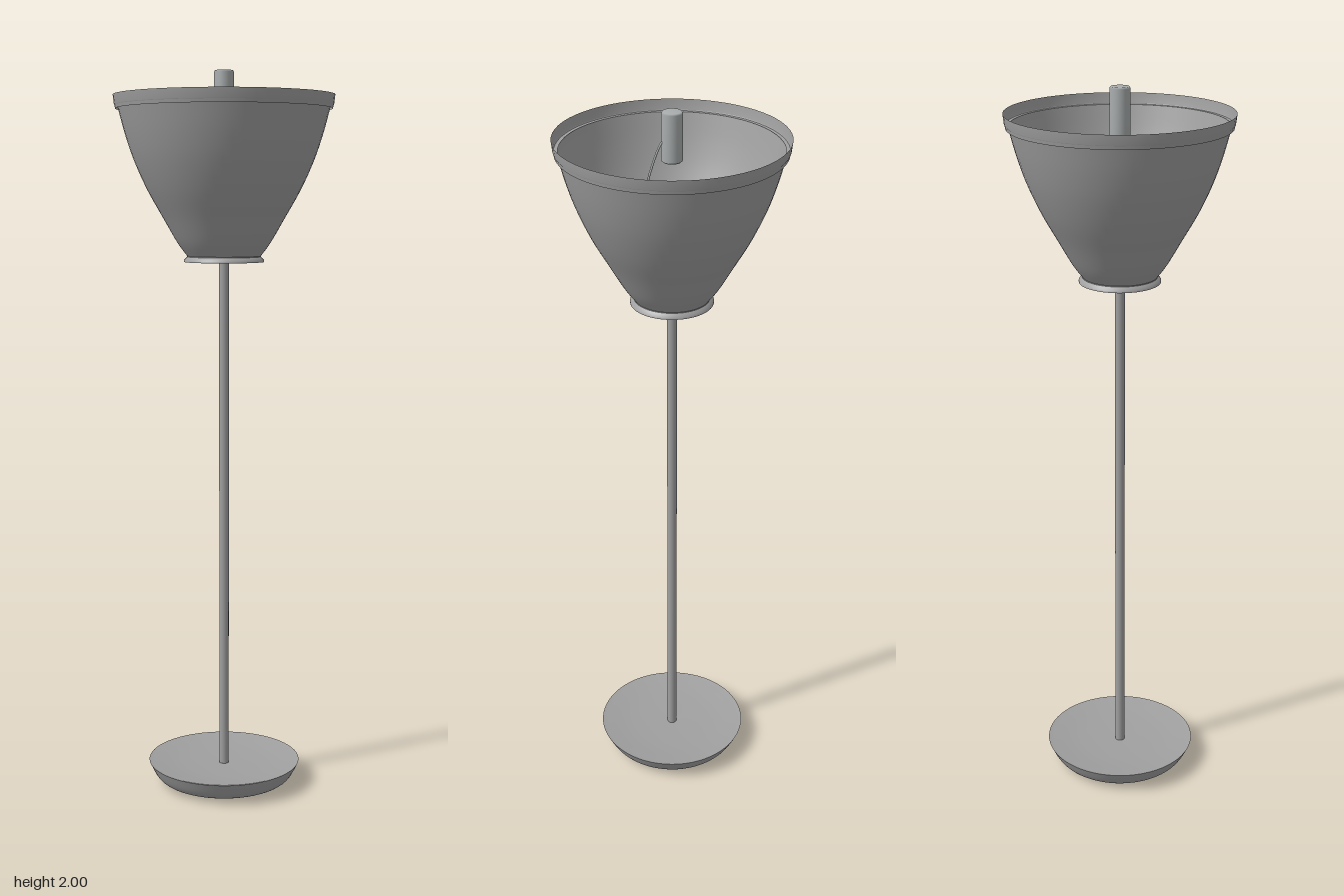
import * as THREE from 'three';

export function createModel() {
  const lamp = new THREE.Group();
  lamp.name = 'floorLamp';

  const mat = (name, color, side = THREE.FrontSide) => {
    const m = new THREE.MeshStandardMaterial({ color, side });
    m.name = name;
    return m;
  };
  const grey = mat('greyMetal', 0xa0a0a0, THREE.DoubleSide);
  const steel = mat('steel', 0xa9adad);
  const cream = mat('creamGlass', 0xf0dcb8);

  const add = (name, geometry, material, y = 0) => {
    const mesh = new THREE.Mesh(geometry, material);
    mesh.name = name;
    mesh.position.y = y;
    lamp.add(mesh);
    return mesh;
  };
  // Profiles are [radius, height]; going up gives outward faces
  const lathe = (points, segments = 64) =>
    new THREE.LatheGeometry(points.map(([r, y]) => new THREE.Vector2(r, y)), segments);
  const smooth = (points, count) =>
    new THREE.SplineCurve(points.map(([r, y]) => new THREE.Vector2(r, y)))
      .getPoints(count).map((p) => [p.x, p.y]);

  // Dished base: rounded underside and shallow hollow top
  add('baseUnderside', lathe([
    [0, 0.004], [0.14, 0.004],
    ...smooth([[0.155, 0.005], [0.18, 0.012], [0.197, 0.028], [0.215, 0.063]], 14),
  ]), grey);
  add('baseTop', lathe(smooth([[0.215, 0.063], [0.195, 0.06], [0.12, 0.052], [0, 0.048]], 14)), grey);
  add('baseFoot', new THREE.CylinderGeometry(0.14, 0.14, 0.006, 64), grey, 0.003);

  // Pole up to the socket
  add('pole', new THREE.CylinderGeometry(0.0135, 0.0135, 1.45, 24), grey, 0.775);

  // Shade: flared collar, curved wall and rim band
  add('shadeCollar', lathe([[0.1, 1.502], [0.104, 1.498], [0.11, 1.492], [0.11, 1.487]]), grey);
  add('shadeWall', lathe(smooth([
    [0.1, 1.502], [0.128, 1.54], [0.165, 1.604], [0.208, 1.68],
    [0.243, 1.757], [0.268, 1.83], [0.288, 1.905],
  ], 28)), grey);
  add('shadeLedge', lathe([[0.284, 1.905], [0.294, 1.905]]), grey);
  add('shadeLip', lathe([[0.294, 1.898], [0.296, 1.909]]), grey);
  add('shadeRim', lathe([[0.294, 1.905], [0.297, 1.909], [0.3, 1.935]]), grey);
  add('shadeFloor', new THREE.CylinderGeometry(0.101, 0.101, 0.006, 64), grey, 1.503);

  // Socket and bulb
  add('socket', new THREE.CylinderGeometry(0.032, 0.032, 0.14, 32), steel, 1.575);
  add('bulb', lathe(smooth([
    [0.03, 1.64], [0.036, 1.665], [0.056, 1.705], [0.066, 1.745],
    [0.057, 1.78], [0.034, 1.803], [0, 1.812],
  ], 28), 40), cream);

  // Finial above the bulb, held by a single bent wire
  add('finial', lathe([
    [0, 1.872], [0.024, 1.872], [0.027, 1.875], [0.027, 1.996], [0.024, 2], [0, 2],
  ], 32), steel);
  const path = new THREE.CatmullRomCurve3([
    [0.015, 1.935], [0.03, 1.918], [0.058, 1.845], [0.07, 1.79],
    [0.07, 1.7], [0.066, 1.62], [0.03, 1.56],
  ].map(([x, y]) => new THREE.Vector3(x, y, 0)));
  add('supportWire', new THREE.TubeGeometry(path, 40, 0.003, 8), steel);

  return lamp;
}
